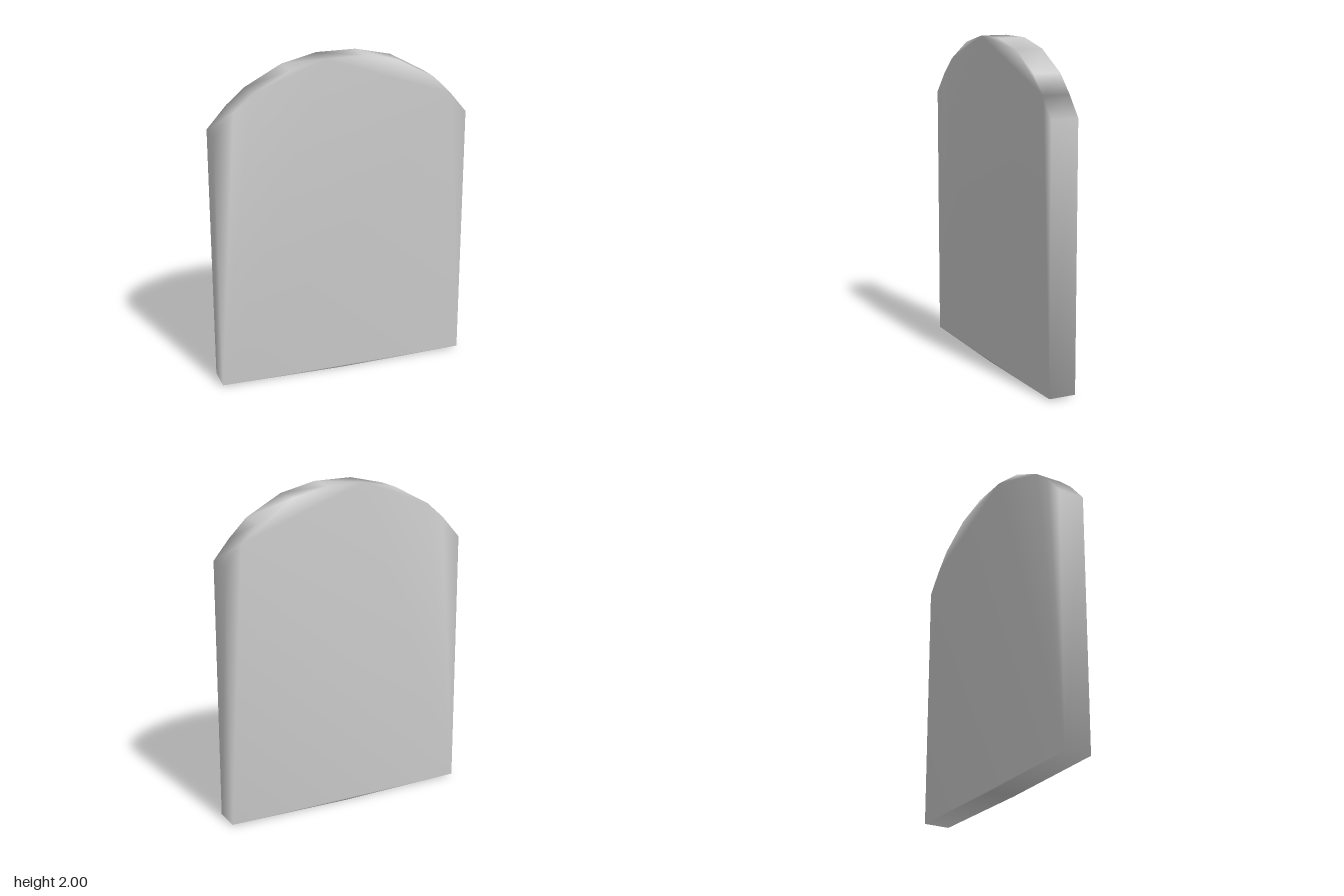
import * as THREE from 'three';
import { mergeVertices } from 'three/addons/utils/BufferGeometryUtils.js';

const BACK = -0.083;
const THICKNESS = 0.166;

// Outline, anticlockwise from the bottom left: straight sides and a faceted arch
const OUTLINE = [
  [-0.78, 0.01], [0, 0], [0.78, 0.01],
  [0.78, 1.6], [0.68, 1.72], [0.57, 1.83], [0.35, 1.95], [0.13, 2],
  [-0.11, 2], [-0.325, 1.95], [-0.55, 1.83], [-0.66, 1.735], [-0.78, 1.6],
];

export function createModel() {
  const group = new THREE.Group();
  group.name = 'archedSlab';

  const shape = new THREE.Shape(OUTLINE.map(([x, y]) => new THREE.Vector2(x, y)));
  let geometry = new THREE.ExtrudeGeometry(shape, { depth: THICKNESS, bevelEnabled: false });
  geometry.translate(0, 0, BACK);

  // Share corners between faces and rim so the shading rolls softly over the edge
  geometry.deleteAttribute('normal');
  geometry.deleteAttribute('uv');
  geometry.clearGroups();
  geometry = mergeVertices(geometry, 1e-4);
  geometry.computeVertexNormals();

  const slab = new THREE.Mesh(geometry, new THREE.MeshStandardMaterial({ color: 0xcccccc }));
  slab.name = 'slab';
  group.add(slab);
  return group;
}
